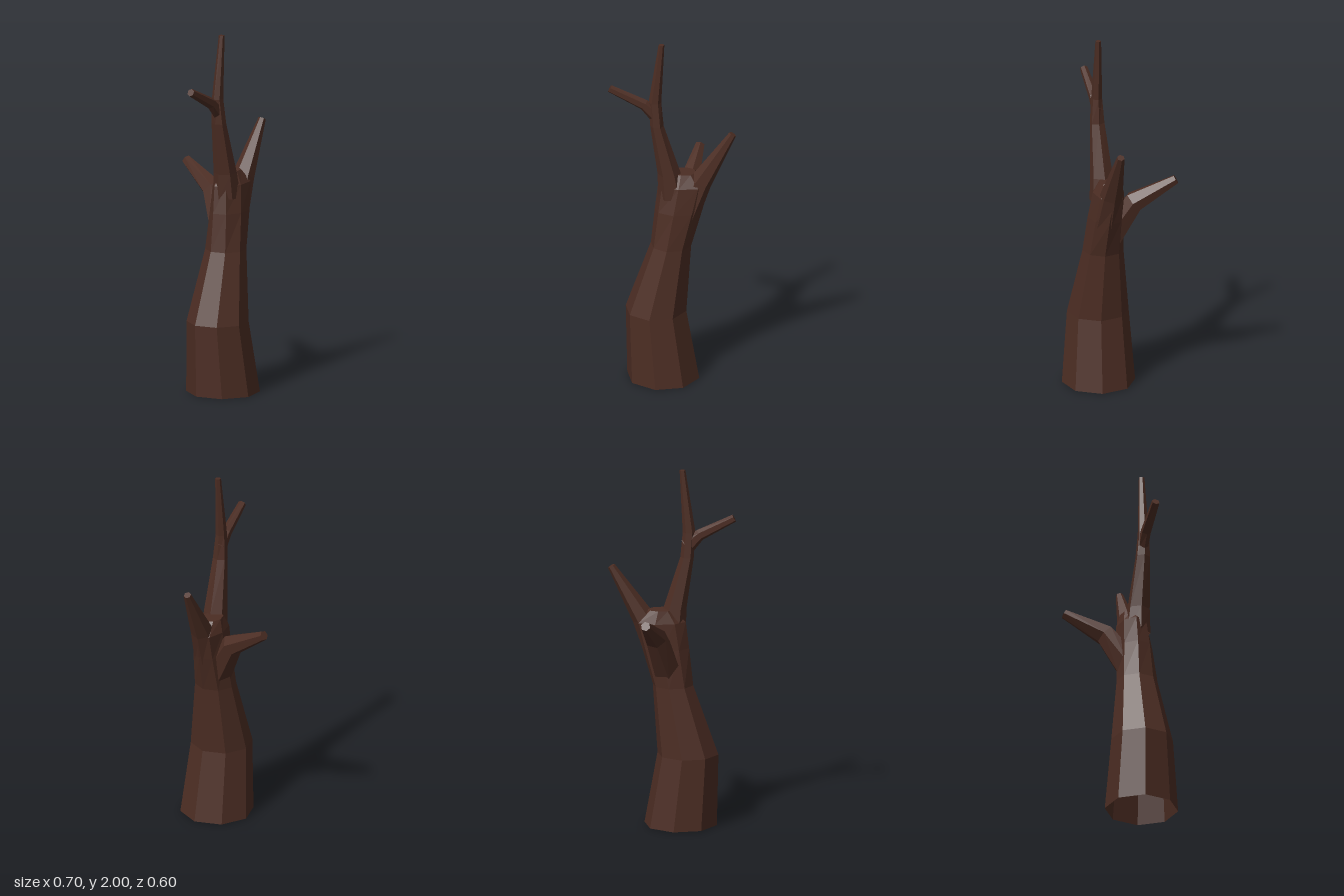
import * as THREE from 'three';

const bark = new THREE.MeshStandardMaterial({ color: 0x4c2d23, flatShading: true, side: THREE.DoubleSide });
bark.name = 'dark bark';

// Lofts faceted rings [x, y, z, rx, rz] along a path; the far end is capped, the near end open.
// Rings lie flat when level is true, otherwise square to the path.
function limb(name, sides, phase, level, rings) {
  const centres = rings.map(r => new THREE.Vector3(r[0], r[1], r[2]));
  const up = new THREE.Vector3(0, 1, 0);
  const pos = [], index = [];
  rings.forEach((r, j) => {
    const dir = centres[Math.min(j + 1, rings.length - 1)].clone().sub(centres[Math.max(j - 1, 0)]).normalize();
    const turn = new THREE.Quaternion();
    if (!level) turn.setFromUnitVectors(up, dir);
    for (let i = 0; i < sides; i++) {
      const a = phase + (i / sides) * Math.PI * 2;
      const p = new THREE.Vector3(Math.cos(a) * r[3], 0, Math.sin(a) * (r[4] ?? r[3]));
      p.applyQuaternion(turn).add(centres[j]);
      pos.push(p.x, p.y, p.z);
    }
  });
  for (let j = 0; j < rings.length - 1; j++) {
    for (let i = 0; i < sides; i++) {
      const a = j * sides + i, b = j * sides + (i + 1) % sides;
      index.push(a, a + sides, b, b, a + sides, b + sides);
    }
  }
  // End cap
  const last = (rings.length - 1) * sides, tip = centres[rings.length - 1];
  pos.push(tip.x, tip.y, tip.z);
  for (let i = 0; i < sides; i++) index.push(last + i, last + sides, last + (i + 1) % sides);

  const geo = new THREE.BufferGeometry();
  geo.setAttribute('position', new THREE.Float32BufferAttribute(pos, 3));
  geo.setIndex(index);
  const flat = geo.toNonIndexed();
  flat.computeVertexNormals();
  const mesh = new THREE.Mesh(flat, bark);
  mesh.name = name;
  return mesh;
}

export function createModel() {
  const tree = new THREE.Group();
  tree.name = 'bareTree';
  tree.add(
    // Crooked trunk, hollow underneath, widening into the fork
    limb('trunk', 8, 0.19, true, [
      [-0.05, 0, 0.1, 0.202],
      [-0.09, 0.4, 0.092, 0.17],
      [-0.008, 0.79, 0.088, 0.113],
      [0.033, 1.0, 0.085, 0.132, 0.097],
      [0.062, 1.15, 0.078, 0.143, 0.083],
      [0.06, 1.22, 0.07, 0.07, 0.055],
    ]),
    // Tall upper stem
    limb('upperStem', 6, 0, true, [
      [0, 1.08, 0.09, 0.078, 0.075],
      [-0.018, 1.22, 0.092, 0.064],
      [-0.085, 1.51, 0.097, 0.037, 0.042],
      [-0.096, 1.65, 0.096, 0.035, 0.03],
      [-0.06, 2.0, 0.098, 0.016],
    ]),
    // Small twig off the upper stem
    limb('twig', 6, 0, false, [
      [-0.085, 1.57, 0.095, 0.045, 0.03],
      [-0.155, 1.635, 0.094, 0.032, 0.028],
      [-0.343, 1.73, 0.093, 0.022],
    ]),
    // Left branch
    limb('leftBranch', 6, 0, false, [
      [0.06, 0.95, 0.09, 0.08],
      [0.155, 1.17, 0.088, 0.062],
      [0.33, 1.46, 0.09, 0.021],
    ]),
    // Back branch
    limb('backBranch', 6, 0.5, false, [
      [0.02, 0.88, 0.06, 0.085],
      [0.085, 1.09, -0.065, 0.062],
      [0.14, 1.215, -0.285, 0.027],
    ]),
  );
  return tree;
}
